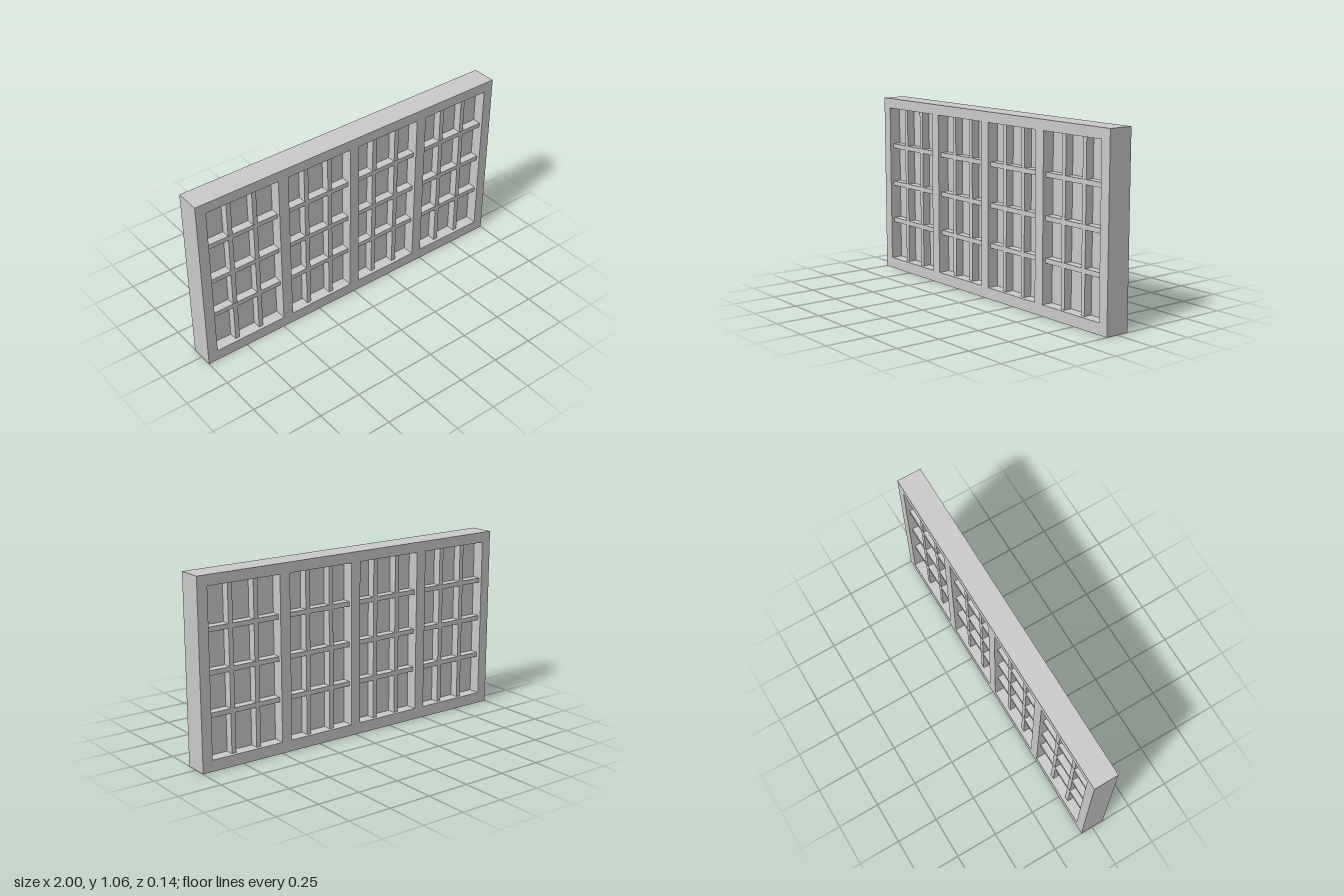
import * as THREE from 'three';

const WIDTH = 2, HEIGHT = 1.056, DEPTH = 0.143;
const SILL = 0.064, HEAD = 0.997;
const BAR = 0.027, BAR_DEPTH = 0.104, PANE_DEPTH = 0.006;

// Each sash opening: left edge, right edge, centres of its two upright bars
const RIGHT_HALF = [
  { x0: 0.03, x1: 0.437, bars: [0.154, 0.309] },
  { x0: 0.5, x1: 0.94, bars: [0.64, 0.796] },
];
const OPENINGS = RIGHT_HALF.flatMap((o) => [
  o,
  { x0: -o.x1, x1: -o.x0, bars: o.bars.map((x) => -x) },
]);
const RAIL_HEIGHTS = [0.303, 0.532, 0.764];

function rectangle(PathType, x0, y0, x1, y1) {
  const path = new PathType();
  path.moveTo(x0, y0);
  path.lineTo(x1, y0);
  path.lineTo(x1, y1);
  path.lineTo(x0, y1);
  path.closePath();
  return path;
}

export function createModel() {
  const group = new THREE.Group();
  group.name = 'window';
  const material = new THREE.MeshStandardMaterial({ color: 0xcccccc, flatShading: true });

  function add(parent, name, geometry, x = 0, y = 0, z = 0) {
    const mesh = new THREE.Mesh(geometry, material);
    mesh.name = name;
    mesh.position.set(x, y, z);
    parent.add(mesh);
  }

  // Outer frame with four openings
  const outline = rectangle(THREE.Shape, -WIDTH / 2, 0, WIDTH / 2, HEIGHT);
  for (const { x0, x1 } of OPENINGS) {
    outline.holes.push(rectangle(THREE.Path, x0, SILL, x1, HEAD));
  }
  const frame = new THREE.ExtrudeGeometry(outline, { depth: DEPTH, bevelEnabled: false });
  add(group, 'frame', frame, 0, 0, -DEPTH / 2);

  // Pane and glazing bars of each opening
  const midY = (SILL + HEAD) / 2, openingHeight = HEAD - SILL;
  for (const { x0, x1, bars } of OPENINGS) {
    const sash = new THREE.Group();
    sash.name = 'sash';
    group.add(sash);
    const midX = (x0 + x1) / 2, openingWidth = x1 - x0;
    add(sash, 'pane', new THREE.BoxGeometry(openingWidth, openingHeight, PANE_DEPTH), midX, midY);
    for (const x of bars) {
      add(sash, 'uprightBar', new THREE.BoxGeometry(BAR, openingHeight, BAR_DEPTH - 0.002), x, midY);
    }
    for (const y of RAIL_HEIGHTS) {
      add(sash, 'crossBar', new THREE.BoxGeometry(openingWidth, BAR, BAR_DEPTH), midX, y);
    }
  }
  return group;
}
